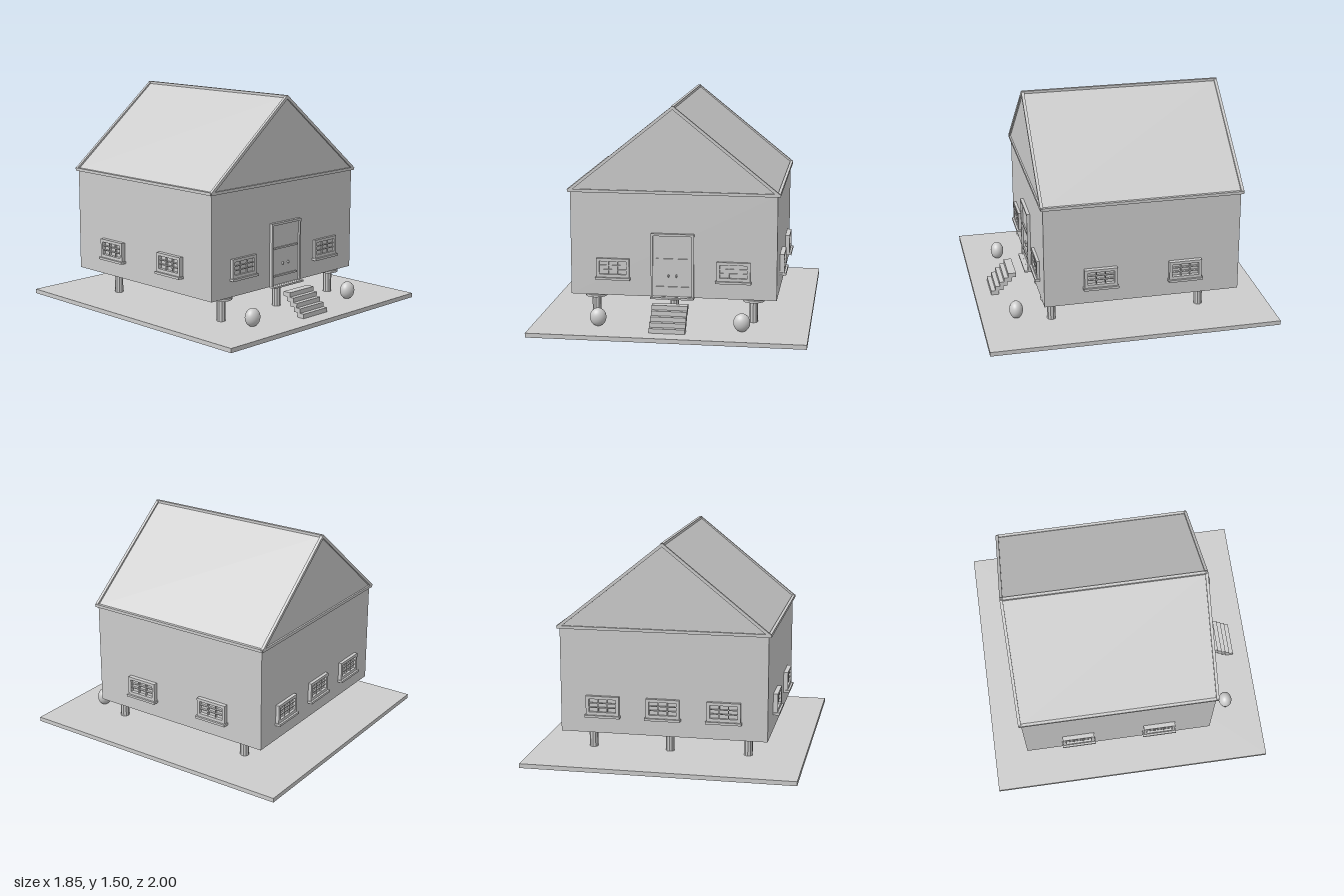
import * as THREE from 'three';

export function createModel() {
  const model = new THREE.Group();
  model.name = 'stiltHouse';
  const grey = new THREE.MeshStandardMaterial({ color: 0xcccccc });
  grey.name = 'plainGrey';

  const add = (parent, name, geo, x = 0, y = 0, z = 0) => {
    const m = new THREE.Mesh(geo, grey);
    m.name = name;
    m.position.set(x, y, z);
    parent.add(m);
    return m;
  };
  // box given by its minimum and maximum corners
  const box = (parent, name, x0, x1, y0, y1, z0, z1) =>
    add(parent, name, new THREE.BoxGeometry(x1 - x0, y1 - y0, z1 - z0),
      (x0 + x1) / 2, (y0 + y1) / 2, (z0 + z1) / 2);
  // square bar between two points
  const bar = (parent, name, a, b, t) => {
    const p = new THREE.Vector3(...a), q = new THREE.Vector3(...b);
    const m = add(parent, name, new THREE.BoxGeometry(t, t, p.distanceTo(q) + t * 0.5));
    m.position.copy(p).lerp(q, 0.5);
    m.lookAt(q);
    return m;
  };
  // rectangular frame around an opening, extruded along z
  const frame = (parent, name, x, y0, y1, ix, iy0, iy1, depth) => {
    const s = new THREE.Shape([[-x, y0], [x, y0], [x, y1], [-x, y1]].map(p => new THREE.Vector2(...p)));
    s.holes.push(new THREE.Path([[-ix, iy0], [-ix, iy1], [ix, iy1], [ix, iy0]].map(p => new THREE.Vector2(...p))));
    return add(parent, name, new THREE.ExtrudeGeometry(s, { depth, bevelEnabled: false }));
  };

  const FRONT = 0.597, BACK = -0.753, SIDE = 0.7;

  // ground slab and house body
  box(model, 'groundSlab', -0.925, 0.925, 0, 0.03, -1, 1);
  box(model, 'walls', -SIDE, SIDE, 0.2, 0.915, BACK, FRONT);

  // roof prism with trim bars on every edge
  const roof = new THREE.Group();
  roof.name = 'roof';
  model.add(roof);
  const gable = new THREE.Shape([[-0.707, 0.914], [0.707, 0.914], [0, 1.488]].map(p => new THREE.Vector2(...p)));
  add(roof, 'roofBody',
    new THREE.ExtrudeGeometry(gable, { depth: FRONT - BACK + 0.012, bevelEnabled: false }), 0, 0, BACK - 0.006);
  const zf = 0.604, zb = -0.761, ex = 0.708, ey = 0.918, ry = 1.487, t = 0.02;
  bar(roof, 'ridgeBar', [0, ry, zb], [0, ry, zf], t);
  for (const s of [-1, 1]) {
    bar(roof, 'eaveBar', [s * ex, ey, zb], [s * ex, ey, zf], t);
    for (const z of [zf, zb]) bar(roof, 'gableRake', [s * ex, ey, z], [0, ry, z], t);
  }
  for (const z of [zf, zb]) bar(roof, 'gableTie', [-ex, ey, z], [ex, ey, z], t);

  // windows: frame, recessed pane, muntins and sill, facing local +z
  const makeWindow = (x, z, turn, out) => {
    const w = new THREE.Group();
    w.name = 'window';
    frame(w, 'windowFrame', 0.113, 0.326, 0.457, 0.092, 0.348, 0.437, out);
    box(w, 'windowPane', -0.095, 0.095, 0.345, 0.44, 0, 0.006);
    for (const i of [-1, 1]) {
      box(w, 'uprightMuntin', i * 0.031 - 0.003, i * 0.031 + 0.003, 0.346, 0.439, 0, out * 0.7);
      box(w, 'crossMuntin', -0.094, 0.094, 0.3925 + i * 0.015 - 0.003, 0.3925 + i * 0.015 + 0.003, 0, out * 0.7);
    }
    box(w, 'windowSill', -0.12, 0.12, 0.311, 0.327, 0, out + 0.014);
    w.position.set(x, 0, z);
    w.rotation.y = turn;
    model.add(w);
  };
  for (const x of [-0.41, 0.41]) makeWindow(x, FRONT, 0, 0.02);
  for (const x of [-0.41, 0, 0.41]) makeWindow(x, BACK, Math.PI, 0.024);
  for (const s of [-1, 1])
    for (const z of [0.214, -0.372]) makeWindow(s * SIDE, z, s * Math.PI / 2, 0.031);

  // double door with rails, handles and threshold
  const door = new THREE.Group();
  door.name = 'door';
  door.position.set(-0.002, 0, FRONT);
  model.add(door);
  frame(door, 'doorFrame', 0.146, 0.2, 0.64, 0.132, 0.207, 0.624, 0.023);
  box(door, 'doorPanel', -0.134, 0.134, 0.203, 0.628, 0, 0.009);
  for (const y of [0.463, 0.27]) box(door, 'doorRail', -0.113, 0.113, y - 0.006, y + 0.006, 0, 0.018);
  for (const x of [-0.027, 0.027]) {
    const h = add(door, 'doorHandle', new THREE.SphereGeometry(1, 12, 8), x, 0.35, 0.012);
    h.scale.set(0.006, 0.011, 0.01);
  }
  box(door, 'threshold', -0.147, 0.147, 0.194, 0.206, 0, 0.048);

  // stairs of overlapping treads
  for (let i = 0; i < 5; i++) {
    const y = 0.03 + i * 0.031, z = 0.885 - i * 0.0315;
    box(model, 'stairTread', -0.12, 0.12, y, y + 0.031, z - 0.056, z);
  }

  // stilts with round caps, three at the front and three at the back
  for (const x of [-0.54, 0, 0.54])
    for (const z of [0.525, -0.518]) {
      const stilt = new THREE.Group();
      stilt.name = 'stilt';
      stilt.position.set(x, 0, z);
      const post = new THREE.CylinderGeometry(0.03, 0.03, 0.15, 10).toNonIndexed();
      post.computeVertexNormals();
      add(stilt, 'stiltPost', post, 0, 0.105, 0);
      add(stilt, 'stiltCap', new THREE.CylinderGeometry(0.074, 0.074, 0.016, 24), 0, 0.186, 0);
      add(stilt, 'stiltPad', new THREE.CylinderGeometry(0.03, 0.03, 0.008, 10), 0, 0.197, 0);
      model.add(stilt);
    }

  // egg-shaped shrubs on either side of the stairs
  for (const s of [-1, 1]) {
    const shrub = add(model, 'shrub', new THREE.SphereGeometry(1, 28, 18), s * 0.483, 0.09, 0.76);
    shrub.scale.set(0.056, 0.062, 0.047);
  }

  return model;
}
